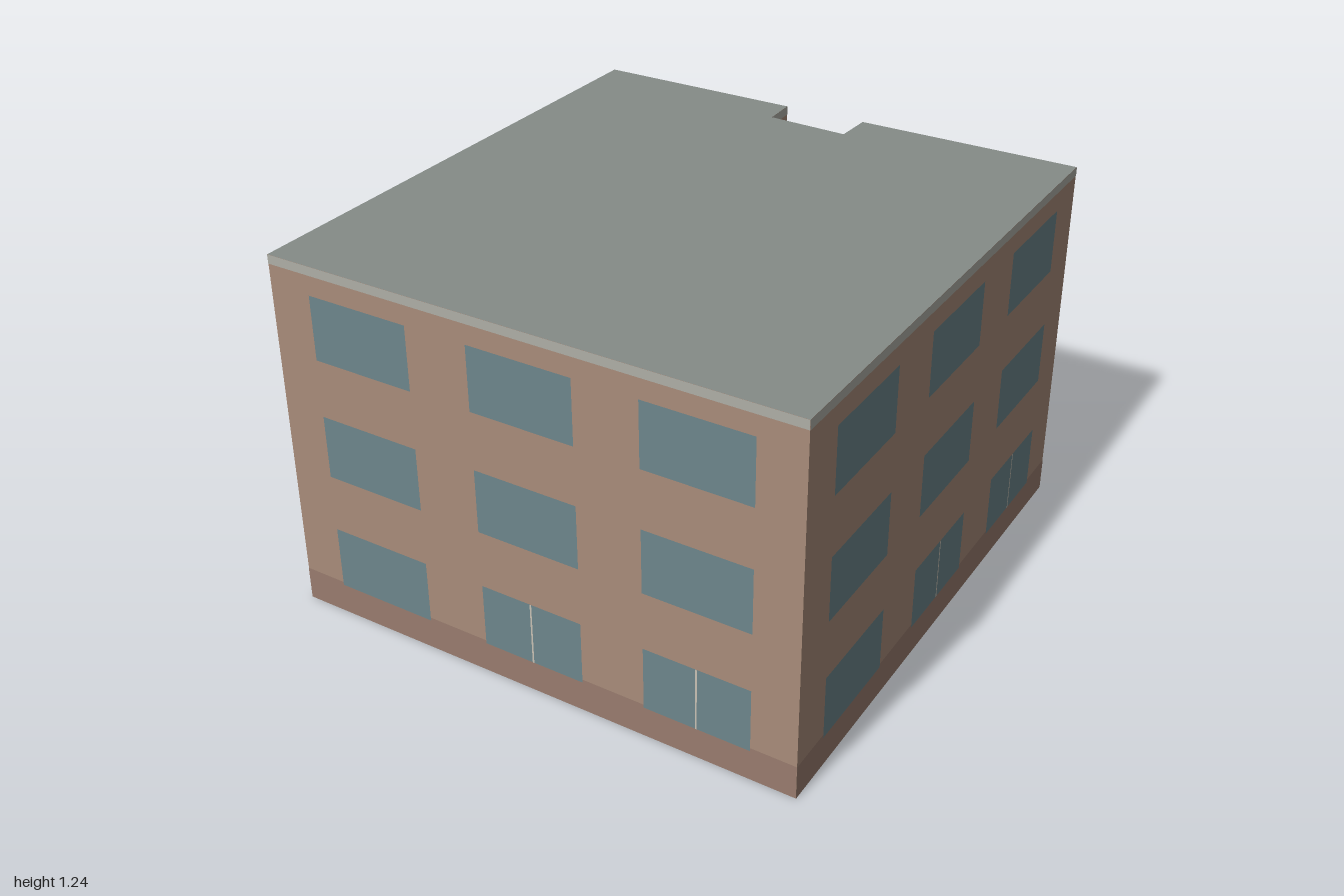
import * as THREE from 'three';

const HEIGHT = 1.235;
const FLOORS = [[0.105, 0.32], [0.515, 0.73], [0.925, 1.14]];

// Footprint corners [x, z], each wall running left to right as seen from outside
const FOOTPRINT = [
  [-0.965, 0.845], [0.825, 0.995], [0.96, -0.86], [0.19, -0.92],
  [0.175, -0.785], [-0.107, -0.82], [-0.103, -0.94], [-0.83, -1],
];

const paint = (color, side = THREE.FrontSide) =>
  new THREE.MeshStandardMaterial({ color, side, roughness: 0.9 });

export function createModel() {
  const model = new THREE.Group();
  model.name = 'building';
  const wallMat = paint(0xa88c7a, THREE.DoubleSide);
  const baseMat = paint(0x997c6e);
  const trimMat = paint(0xaeaea6);
  const glassMat = paint(0x6d868c);
  const mullionMat = paint(0xc9c2b4);
  const roofMat = paint(0x858c88, THREE.DoubleSide);

  FOOTPRINT.forEach(([ax, az], i) => {
    const [bx, bz] = FOOTPRINT[(i + 1) % FOOTPRINT.length];
    const length = Math.hypot(bx - ax, bz - az);
    const side = new THREE.Group();
    side.name = 'facade' + (i + 1);
    side.position.set(ax, 0, az);
    side.rotation.y = Math.atan2(az - bz, bx - ax);
    model.add(side);

    // Flat panel on this facade, from u0 to u1 along the wall
    const panel = (name, u0, u1, y0, y1, layer, material) => {
      const mesh = new THREE.Mesh(new THREE.PlaneGeometry(u1 - u0, y1 - y0), material);
      mesh.position.set((u0 + u1) / 2, (y0 + y1) / 2, layer * 0.001);
      mesh.name = name;
      side.add(mesh);
    };

    panel('wall', 0, length, 0, HEIGHT, 0, wallMat);
    panel('base', 0, length, 0, 0.115, 1, baseMat);
    panel('cornice', 0, length, 1.205, HEIGHT, 1, trimMat);

    // Long walls carry three windows per floor, short ones a single window
    if (length < 0.13) return;
    const long = length > 1;
    const centres = long ? [0.182, 0.5, 0.818] : [0.5];
    const half = length * (long ? 0.099 : 0.285);
    FLOORS.forEach(([y0, y1], floor) => {
      centres.forEach((c, column) => {
        const u = c * length;
        panel('window', u - half, u + half, y0, y1, 2, glassMat);
        if (!long || (floor === 0 && column > 0)) {
          panel('mullion', u - 0.003, u + 0.003, y0, y1, 3, mullionMat);
        }
      });
    });
  });

  // Flat roof
  const outline = new THREE.Shape(FOOTPRINT.map(([x, z]) => new THREE.Vector2(x, -z)));
  const roof = new THREE.Mesh(new THREE.ShapeGeometry(outline).rotateX(-Math.PI / 2), roofMat);
  roof.position.y = HEIGHT;
  roof.name = 'roof';
  model.add(roof);
  return model;
}
